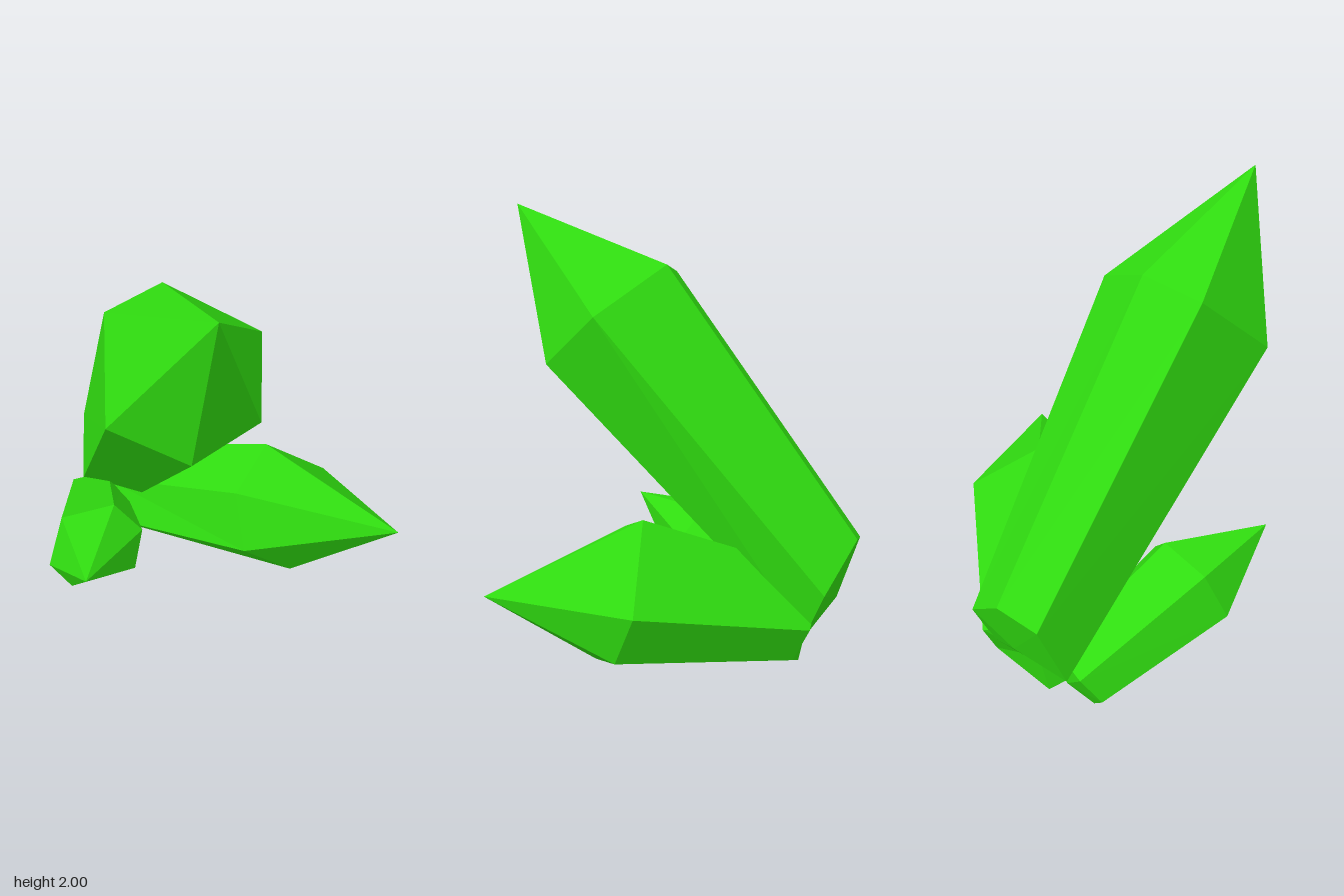
import * as THREE from 'three';

const crystalGreen = new THREE.MeshStandardMaterial({ color: 0x30dd10 });
crystalGreen.name = 'crystalGreen';

// Six-sided crystal: base ring -> shoulder ring -> sharp tip, rings counterclockwise seen from the tip
function crystal(name, tip, shoulder, base) {
  const vec = (p) => new THREE.Vector3(...p);
  const apex = vec(tip);
  const upper = shoulder.map(vec);
  const lower = base.map(vec);
  const n = upper.length;

  // Slightly bulging underside
  const root = new THREE.Vector3();
  lower.forEach((p) => root.addScaledVector(p, 1 / n));
  const axis = apex.clone().sub(root).normalize();
  root.addScaledVector(axis, -0.04);

  const points = [];
  for (let i = 0; i < n; i++) {
    const j = (i + 1) % n;
    points.push(upper[i], upper[j], apex); // tip facet
    points.push(lower[i], lower[j], upper[j], lower[i], upper[j], upper[i]); // side facet
    points.push(lower[j], lower[i], root); // underside facet
  }
  const geometry = new THREE.BufferGeometry().setFromPoints(points);
  geometry.computeVertexNormals(); // unshared corners keep the facets flat
  const mesh = new THREE.Mesh(geometry, crystalGreen);
  mesh.name = name;
  return mesh;
}

export function createModel() {
  const group = new THREE.Group();
  group.name = 'crystalCluster';

  group.add(
    crystal('tallCrystal', [0.27, 2, 0.69],
      [[-0.21, 1.39, 0.63], [0.12, 1.25, 0.57], [0.32, 1.33, 0.31],
        [0.23, 1.57, 0.03], [-0.17, 1.76, 0.1], [-0.34, 1.7, 0.3]],
      [[-0.81, 0.26, -0.35], [-0.58, 0.14, -0.41], [-0.45, 0.22, -0.6],
        [-0.48, 0.43, -0.69], [-0.71, 0.62, -0.61], [-0.84, 0.57, -0.47]]),

    crystal('sideCrystal', [0.84, 0.51, -0.17],
      [[0.17, 0.76, -0.29], [0.11, 0.65, -0.03], [0.18, 0.39, 0.05],
        [0.34, 0.13, -0.18], [0.42, 0.25, -0.5], [0.38, 0.46, -0.58]],
      [[-0.64, 0.43, -0.47], [-0.64, 0.37, -0.26], [-0.65, 0.17, -0.2],
        [-0.58, 0, -0.39], [-0.4, 0.12, -0.59], [-0.44, 0.27, -0.65]]),

    crystal('smallCrystal', [-0.34, 0.56, 0.64],
      [[-0.65, 0.34, 0.38], [-0.55, 0.23, 0.37], [-0.29, 0.3, 0.23],
        [-0.28, 0.47, 0.15], [-0.41, 0.59, 0.16], [-0.62, 0.55, 0.28]],
      [[-0.85, 0.15, -0.21], [-0.78, 0.08, -0.23], [-0.62, 0.11, -0.33],
        [-0.6, 0.24, -0.37], [-0.68, 0.32, -0.37], [-0.84, 0.28, -0.3]]),
  );
  return group;
}
